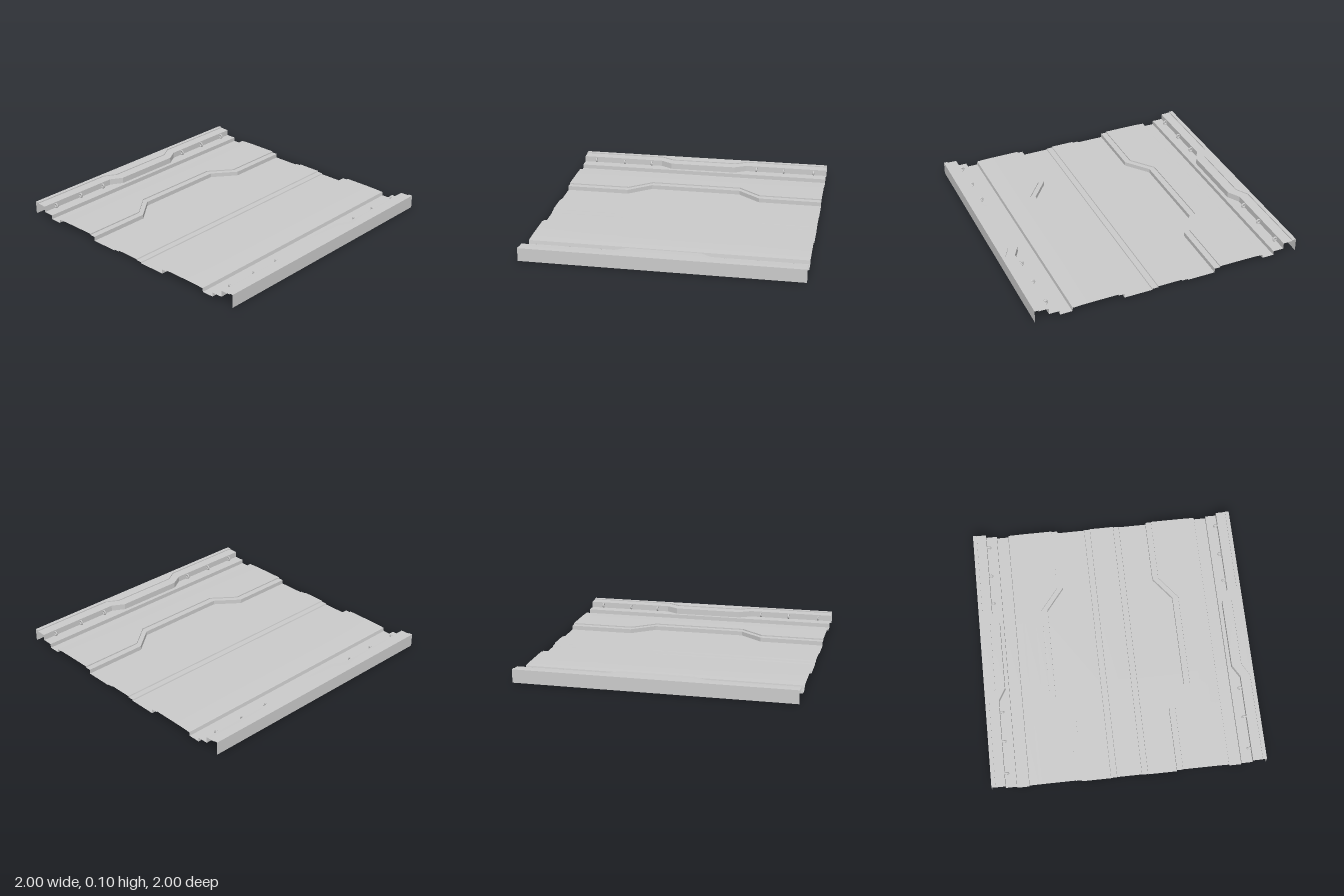
import * as THREE from 'three';
import { toCreasedNormals } from 'three/addons/utils/BufferGeometryUtils.js';

const material = new THREE.MeshStandardMaterial({
  color: 0xcccccc, side: THREE.DoubleSide,
});

// Stations along the panel where any crease changes direction
const stations = [-1, -0.52, -0.35, -0.26, 0.26, 0.35, 0.52, 1];

// Sideways shift of a crease: 0 at the ends, "amount" between the inner stations
const jog = (outer, inner, amount) => (x) =>
  amount * THREE.MathUtils.clamp((outer - Math.abs(x)) / (outer - inner), 0, 1);
const straight = () => 0;
const floorJog = jog(0.52, 0.35, 0.133);
const railJog = jog(0.35, 0.26, -0.052);

// Sheet swept along x; each profile point is [z, y, shift]
function sheet(name, profile, side) {
  const pos = [];
  const at = ([z, y, shift], x) => [x, y, side * (z + shift(x))];
  for (let i = 0; i < profile.length - 1; i++) {
    for (let j = 0; j < stations.length - 1; j++) {
      const a = at(profile[i], stations[j]);
      const b = at(profile[i + 1], stations[j]);
      const c = at(profile[i + 1], stations[j + 1]);
      const d = at(profile[i], stations[j + 1]);
      const quad = side > 0 ? [a, b, c, a, c, d] : [a, c, b, a, d, c];
      pos.push(...quad.flat());
    }
  }
  const geometry = new THREE.BufferGeometry();
  geometry.setAttribute('position', new THREE.Float32BufferAttribute(pos, 3));
  const mesh = new THREE.Mesh(toCreasedNormals(geometry, 0.4), material);
  mesh.name = name;
  return mesh;
}

// Half profiles from the middle outwards
const profiles = {
  centreRidge: [
    [0, 0.018, straight], [0.09, 0.018, straight], [0.092, 0.01, straight],
    [0.135, 0.01, straight], [0.137, 0.002, straight],
  ],
  lowerFloor: [[0.137, 0.002, straight], [0.347, 0.002, floorJog]],
  floorStep: [
    [0.347, 0.002, floorJog], [0.347, 0.034, floorJog],
    [0.391, 0.034, floorJog], [0.391, 0.043, floorJog],
  ],
  // Bends down softly towards the gutter
  upperFloor: [
    [0.391, 0.043, floorJog], [0.58, 0.043, straight],
    [0.66, 0.042, straight], [0.728, 0.039, straight],
  ],
  gutter: [
    [0.728, 0.039, straight], [0.732, 0.012, straight],
    [0.82, 0.012, straight], [0.82, 0.043, straight],
  ],
  sideRail: [
    [0.82, 0.043, straight], [0.9, 0.043, railJog], [0.9, 0.088, railJog],
    [0.971, 0.09, railJog], [0.971, 0.097, railJog], [1, 0.097, straight],
  ],
  outerFlange: [[1, 0.097, straight], [1, 0, straight]],
};

export function createModel() {
  const group = new THREE.Group();
  group.name = 'floorPanel';

  // Small tie-down rings on the inner wall of each rail
  const ringGeometry = new THREE.TorusGeometry(0.014, 0.007, 6, 14);
  ringGeometry.rotateY(Math.PI / 2);

  for (const side of [1, -1]) {
    for (const [name, profile] of Object.entries(profiles)) {
      group.add(sheet(name, profile, side));
    }
    for (const x of [-0.9, -0.66, -0.435, 0.435, 0.66, 0.9]) {
      const ring = new THREE.Mesh(ringGeometry, material);
      ring.name = 'tieRing';
      ring.position.set(x, 0.066, side * 0.887);
      group.add(ring);
    }
  }
  return group;
}
